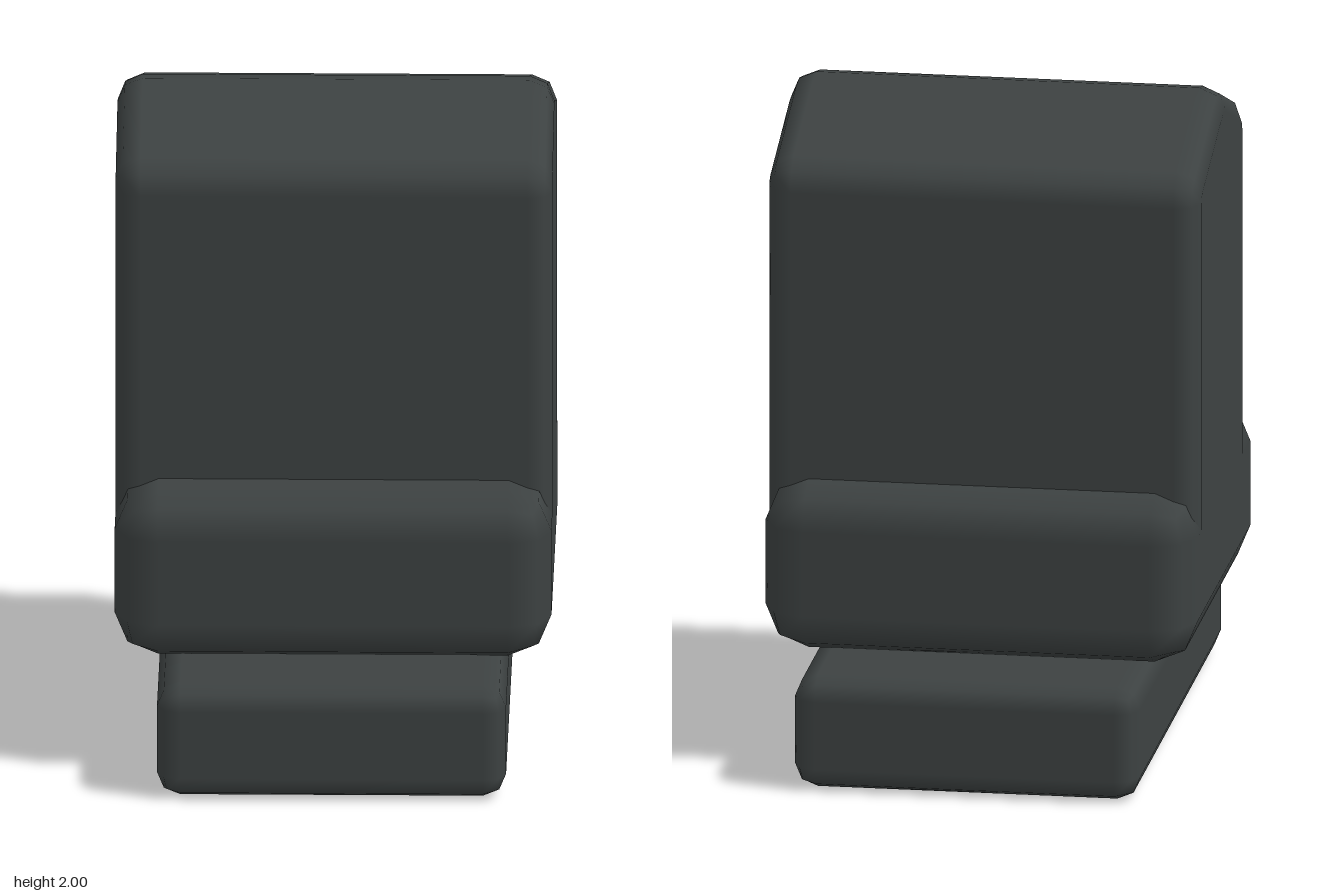
import * as THREE from 'three';
import { RoundedBoxGeometry } from 'three/addons/geometries/RoundedBoxGeometry.js';

// Prism along x from convex corners [u, y] (u = -z, counter-clockwise seen from +x),
// with every edge bevelled in two steps.
function bevelledPrism(corners, halfWidth, bevel) {
  const pts = corners.map(([u, y]) => new THREE.Vector2(u, y));
  const profile = [];
  pts.forEach((p, i) => {
    const prev = pts[(i + pts.length - 1) % pts.length];
    const next = pts[(i + 1) % pts.length];
    const e1 = p.clone().sub(prev).normalize();
    const e2 = next.clone().sub(p).normalize();
    const n1 = new THREE.Vector2(e1.y, -e1.x);
    const n2 = new THREE.Vector2(e2.y, -e2.x);
    const mid = n1.clone().add(n2).normalize();
    const half = Math.acos(mid.dot(n1));
    const radius = bevel / Math.tan(half);
    const centre = p.clone().addScaledVector(mid, -radius / Math.cos(half));
    for (const n of [n1, mid, n2]) profile.push({ p: centre.clone().addScaledVector(n, radius), n });
  });

  const positions = [], normals = [], index = [];
  const count = profile.length;
  // Three rings bevel each end
  const rings = [-90, -45, 0, 0, 45, 90].map((deg, i) => ({ a: THREE.MathUtils.degToRad(deg), side: i < 3 ? -1 : 1 }));
  for (const { a, side } of rings) {
    const s = Math.sin(a), c = Math.cos(a);
    for (const { p, n } of profile) {
      const inset = bevel * (1 - c);
      positions.push(side * (halfWidth - bevel) + bevel * s, p.y - n.y * inset, -(p.x - n.x * inset));
      normals.push(s, n.y * c, -n.x * c);
    }
  }
  for (let i = 0; i < rings.length - 1; i++) {
    for (let j = 0; j < count; j++) {
      const k = (j + 1) % count;
      const a = i * count + j, b = i * count + k, c = b + count, d = a + count;
      index.push(a, b, c, a, c, d);
    }
  }
  // End caps
  const last = (rings.length - 1) * count;
  for (let j = 1; j < count - 1; j++) {
    index.push(last, last + j, last + j + 1, 0, j + 1, j);
  }
  const geometry = new THREE.BufferGeometry();
  geometry.setAttribute('position', new THREE.Float32BufferAttribute(positions, 3));
  geometry.setAttribute('normal', new THREE.Float32BufferAttribute(normals, 3));
  geometry.setIndex(index);
  return geometry;
}

export function createModel() {
  const group = new THREE.Group();
  const stone = new THREE.MeshStandardMaterial({ color: 0x3d4242 });
  stone.name = 'dark stone';

  const add = (name, geometry, y = 0) => {
    const mesh = new THREE.Mesh(geometry, stone);
    mesh.name = name;
    mesh.position.y = y;
    group.add(mesh);
  };

  // Long foot slab
  add('base', new RoundedBoxGeometry(1.05, 0.35, 1.75, 1, 0.07), 0.175);
  // Wide softly bevelled block
  add('plinth', new RoundedBoxGeometry(1.314, 0.526, 1.314, 1, 0.131), 0.615);
  // Tall block with a gabled top
  add('gabledBlock', bevelledPrism(
    [[-0.44, 0.5], [0.525, 0.5], [0.525, 1.845], [0, 2.013], [-0.44, 1.845]], 0.657, 0.075));

  return group;
}
